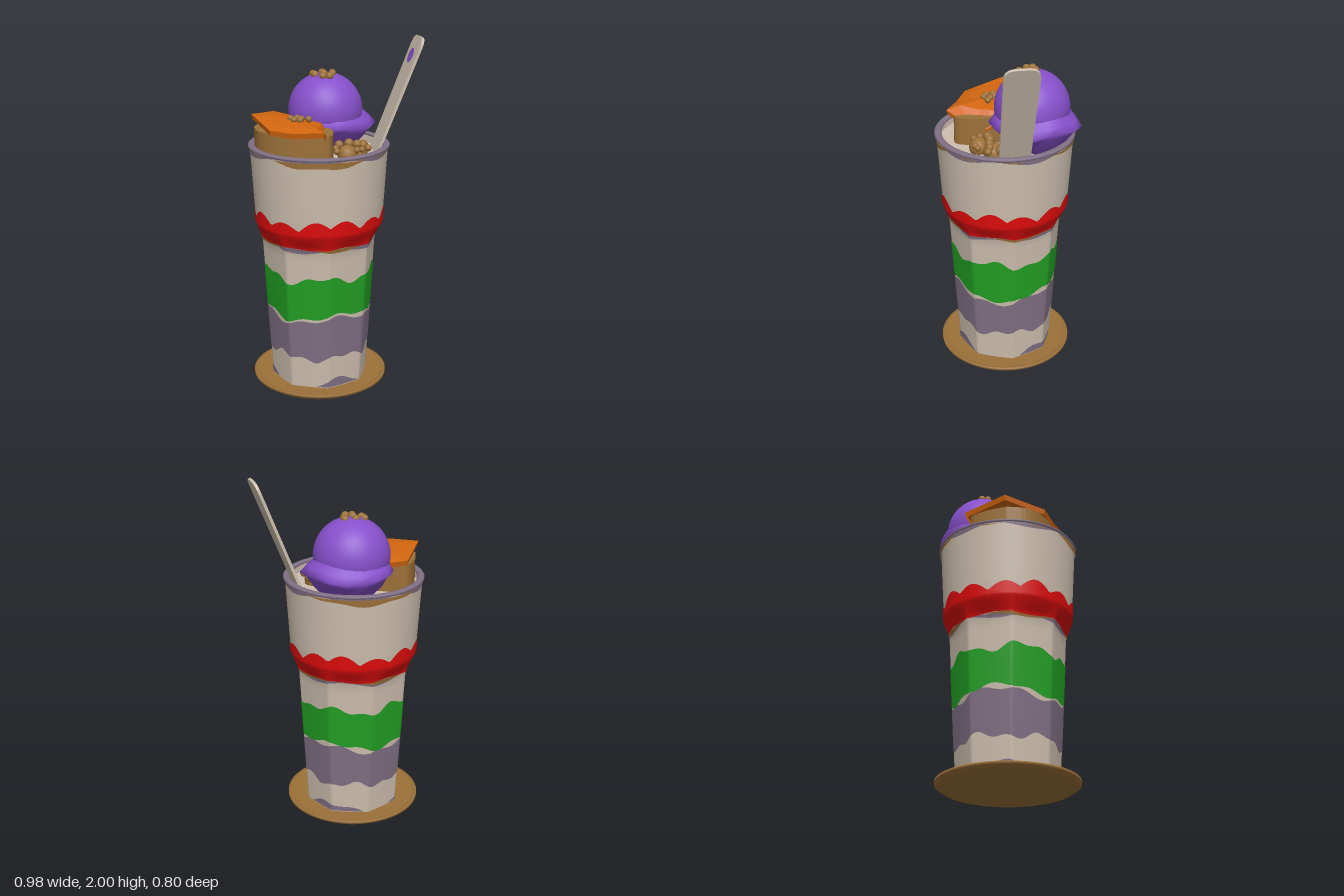
import * as THREE from 'three';

const mat = (name, color, side = THREE.FrontSide) => {
  const m = new THREE.MeshStandardMaterial({ color, side });
  m.name = name;
  return m;
};

// cup outline: [height, radius]
const PROFILE = [[0.04, 0.28], [0.87, 0.328], [0.9, 0.333], [0.98, 0.362], [1.41, 0.388]];
const CUP_X = -0.09;

function cupRadius(y, a) {
  let i = 0;
  while (i < PROFILE.length - 2 && y > PROFILE[i + 1][0]) i++;
  const [y0, r0] = PROFILE[i], [y1, r1] = PROFILE[i + 1];
  const r = r0 + (r1 - r0) * (y - y0) / (y1 - y0);
  // softly eight-sided below the shoulder, round above it
  const q = Math.PI / 4;
  const local = ((a % q) + q) % q - q / 2;
  const facet = Math.cos(q / 2) / Math.cos(local);
  const amount = 0.8 * (1 - THREE.MathUtils.smoothstep(y, 0.87, 0.98));
  return r * (1 + (facet - 1) * amount);
}

// closed surface of rings; point(a, t) gives the position at angle a and height t in 0..1
function ringSurface(cols, rows, point) {
  const pos = [], idx = [];
  for (let j = 0; j <= rows; j++)
    for (let i = 0; i < cols; i++) pos.push(...point(i / cols * Math.PI * 2, j / rows));
  for (let j = 0; j < rows; j++)
    for (let i = 0; i < cols; i++) {
      const n = (i + 1) % cols, a = j * cols + i, b = j * cols + n;
      idx.push(a, b, b + cols, a, b + cols, a + cols);
    }
  const g = new THREE.BufferGeometry();
  g.setAttribute('position', new THREE.Float32BufferAttribute(pos, 3));
  g.setIndex(idx);
  g.computeVertexNormals();
  return g;
}

// part of the cup wall between two wavy heights
const cupBand = (low, high, out) => ringSurface(160, 28, (a, t) => {
  const lo = low(a), y = lo + Math.max(0, high(a) - lo) * t;
  const r = cupRadius(y, a) + out;
  return [Math.sin(a) * r, y, Math.cos(a) * r];
});

export function createModel() {
  const root = new THREE.Group();
  const D = THREE.DoubleSide;
  const cream = mat('cream', 0xcdbfae, D);
  const mauve = mat('mauve', 0x807084);
  const green = mat('green', 0x22a024);
  const red = mat('red', 0xe00c0c);
  const brown = mat('caramel brown', 0x9c7139);
  const purple = mat('purple', 0x8750cb, D);
  const orange = mat('orange', 0xd2660f, D);

  const add = (name, geo, material, x = 0, y = 0, z = 0, parent = root) => {
    const m = new THREE.Mesh(geo, material);
    m.name = name;
    m.position.set(x, y, z);
    parent.add(m);
    return m;
  };
  const lathe = (pts, seg = 64) =>
    new THREE.LatheGeometry(pts.map(p => new THREE.Vector2(p[0], p[1])), seg);

  // coaster with a slightly raised edge
  add('coaster', lathe([[0, 0.005], [0.36, 0.005], [0.39, 0.025], [0.39, 0.04], [0.37, 0.038], [0.35, 0.025], [0, 0.025]]), brown, CUP_X);

  // cup wall, rim and filling surface
  const cup = new THREE.Group();
  cup.name = 'cup';
  cup.position.x = CUP_X;
  root.add(cup);
  const s = Math.sin, c = Math.cos;
  add('cupWall', cupBand(() => 0.03, () => 1.41, 0), cream, 0, 0, 0, cup);
  const rim = add('rim', new THREE.TorusGeometry(0.378, 0.021, 10, 72).rotateX(Math.PI / 2), mauve, 0, 1.415, 0, cup);
  rim.scale.y = 0.5;
  add('filling', new THREE.CircleGeometry(0.378, 64).rotateX(-Math.PI / 2), cream, 0, 1.36, 0, cup);

  // coloured layers showing on the wall
  const layers = [
    ['footStain', mauve, () => 0.035, a => 0.045 + 0.035 * s(3 * a + 0.8) + 0.012 * s(7 * a)],
    ['mauveLayer', mauve, a => 0.215 + 0.015 * s(5 * a) + 0.012 * s(11 * a + 1), a => 0.45 + 0.022 * s(3 * a + 1) + 0.012 * s(8 * a)],
    ['greenLayer', green, a => 0.468 + 0.022 * s(3 * a + 0.8) + 0.01 * s(9 * a), a => 0.7 + 0.02 * s(5 * a + 2) + 0.012 * s(11 * a)],
    ['seamStain', mauve, a => 0.873 + 0.012 * s(5 * a + 1), () => 0.9],
    ['seamCaramel', brown, a => 0.882 + 0.012 * s(4 * a + 4), () => 0.893],
    ['redLayer', red, a => 0.89 + 0.006 * s(6 * a), a => 1.015 + 0.045 * Math.abs(s(6.5 * a)) + 0.012 * c(5 * a)],
    ['rimStain', mauve, a => 1.392 + 0.012 * s(6 * a), () => 1.408],
    ['rimCaramel', brown, a => 1.4 - 0.035 * Math.max(0, c(2 * a + 0.3)) - 0.006 * s(9 * a), () => 1.4],
  ];
  layers.forEach(([name, m, lo, hi], i) =>
    add(name, cupBand(lo, hi, 0.002 + 0.0004 * i), m, 0, 0, 0, cup));

  // ice cream scoop: round dome
  const dome = new THREE.SphereGeometry(0.212, 40, 24);
  add('scoopDome', dome, purple, -0.027, 1.58, -0.143);

  // ragged skirt of the scoop: [radius, height]
  const skirt = [[0.13, 1.36], [0.19, 1.42], [0.225, 1.475], [0.252, 1.505], [0.225, 1.535], [0.19, 1.57]];
  add('scoopSkirt', ringSurface(18, skirt.length - 1, (a, t) => {
    const k = Math.round(t * (skirt.length - 1)), [r, y] = skirt[k];
    const wave = k === 3 ? 0.014 * s(5 * a + 1) : 0;
    return [s(a) * (r + wave), y + (k > 1 ? 0.012 * s(3 * a + 2) : 0), c(a) * (r + wave)];
  }), purple, 0.0, 0, -0.157);

  // pudding piece
  const body = [[-0.45, -0.03], [-0.4, -0.14], [-0.33, -0.22], [-0.25, -0.2], [-0.1, -0.08], [-0.04, 0.1],
    [-0.045, 0.2], [-0.07, 0.27], [-0.12, 0.285], [-0.26, 0.24], [-0.38, 0.17], [-0.44, 0.08]];
  const outline = new THREE.SplineCurve([...body, body[0]].map(p => new THREE.Vector2(p[0], -p[1])));
  const pudding = new THREE.ExtrudeGeometry(new THREE.Shape(outline.getPoints(48)),
    { depth: 0.18, bevelEnabled: false }).rotateX(-Math.PI / 2);
  add('pudding', pudding, brown, 0, 1.34, 0);

  // sauce sheet draped over it: centre, fold ring and pointed edge
  const centre = [-0.23, 1.572, 0.04];
  const edge = [[-0.462, 1.59, -0.04], [-0.31, 1.555, -0.26], [-0.2, 1.53, -0.2], [-0.06, 1.52, -0.02],
    [-0.035, 1.455, 0.11], [-0.065, 1.47, 0.2], [-0.115, 1.55, 0.325], [-0.27, 1.535, 0.25], [-0.39, 1.545, 0.19]];
  const fold = edge.map(p => [0, 1, 2].map(k => k === 1
    ? Math.max(1.548, (p[1] + centre[1]) / 2) : centre[k] + (p[k] - centre[k]) * 0.72));
  const lip = edge.map(p => [centre[0] + (p[0] - centre[0]) * 0.97, p[1] - 0.03, centre[2] + (p[2] - centre[2]) * 0.97]);
  const tri = [];
  edge.forEach((p, i) => {
    const n = (i + 1) % edge.length;
    tri.push(centre, fold[n], fold[i], fold[i], fold[n], p, p, fold[n], edge[n],
      p, edge[n], lip[i], lip[i], edge[n], lip[n]);
  });
  // keep every triangle of the sheet facing away from the pudding
  for (let i = 0; i < tri.length; i += 3) {
    const [A, B, C] = tri.slice(i, i + 3).map(p => new THREE.Vector3(...p));
    const nrm = B.clone().sub(A).cross(C.clone().sub(A));
    if (nrm.dot(A.sub(new THREE.Vector3(-0.23, 1.2, 0.04))) < 0) [tri[i + 1], tri[i + 2]] = [tri[i + 2], tri[i + 1]];
  }
  const sauce = new THREE.BufferGeometry();
  sauce.setAttribute('position', new THREE.Float32BufferAttribute(tri.flat(), 3));
  sauce.computeVertexNormals();
  add('sauce', sauce, orange);

  // crunchy crumbs: [x, z, y, radius]
  const crumbs = (name, list) => {
    const g = new THREE.Group();
    g.name = name;
    root.add(g);
    list.forEach(([x, z, y, r]) => add('crumb', new THREE.SphereGeometry(r, 14, 10), brown, x, y, z, g));
  };
  crumbs('scoopCrumbs', [[-0.095, -0.155], [-0.042, -0.163], [0.015, -0.15], [-0.09, -0.12], [-0.04, -0.118],
    [0.008, -0.118], [-0.052, -0.073], [-0.016, -0.066]].map(p => [...p, 1.792 - 0.7 * Math.hypot(p[0] + 0.03, p[1] + 0.13) * 0.2, 0.022]));
  crumbs('puddingCrumbs', [[-0.255, 0.045], [-0.218, 0.04], [-0.198, 0.065], [-0.242, 0.085],
    [-0.21, 0.102], [-0.16, 0.086]].map(p => [...p, 1.576, 0.018]));
  crumbs('beanPile', [[0.04, 0.165, 1.385, 0.055], [0.11, 0.09, 1.375, 0.06], [0.15, 0.06, 1.41, 0.03],
    [0.005, 0.11, 1.43, 0.025], [0.06, 0.108, 1.435, 0.027], [0.105, 0.115, 1.43, 0.025], [0.138, 0.118, 1.425, 0.022],
    [0.165, 0.13, 1.41, 0.02], [0.09, 0.19, 1.415, 0.018], [0.12, 0.18, 1.415, 0.017],
    [-0.022, 0.15, 1.42, 0.018], [-0.022, 0.185, 1.41, 0.018]]);

  // flat spoon handle leaning over the rim
  const spoon = new THREE.Group();
  spoon.name = 'spoon';
  spoon.position.set(0.207, 1.3, -0.003);
  spoon.rotation.z = -0.378;
  root.add(spoon);
  const L = 0.753, w0 = 0.083, w1 = 0.095;
  const handle = new THREE.Shape();
  handle.moveTo(-w0, 0);
  handle.lineTo(w0, 0);
  handle.lineTo(w1, L - 0.06);
  handle.bezierCurveTo(w1, L - 0.02, 0.07, L, 0.03, L);
  handle.lineTo(-0.03, L);
  handle.bezierCurveTo(-0.07, L, -w1, L - 0.02, -w1, L - 0.06);
  const handleGeo = new THREE.ExtrudeGeometry(handle, { depth: 0.016, bevelEnabled: false, curveSegments: 10 });
  add('handle', handleGeo.translate(0, 0, -0.008).rotateY(Math.PI / 2), cream, 0, 0, 0, spoon);
  add('spoonSpot', new THREE.CircleGeometry(0.043, 24).rotateY(-Math.PI / 2), purple, -0.0105, 0.637, -0.004, spoon);

  return root;
}
